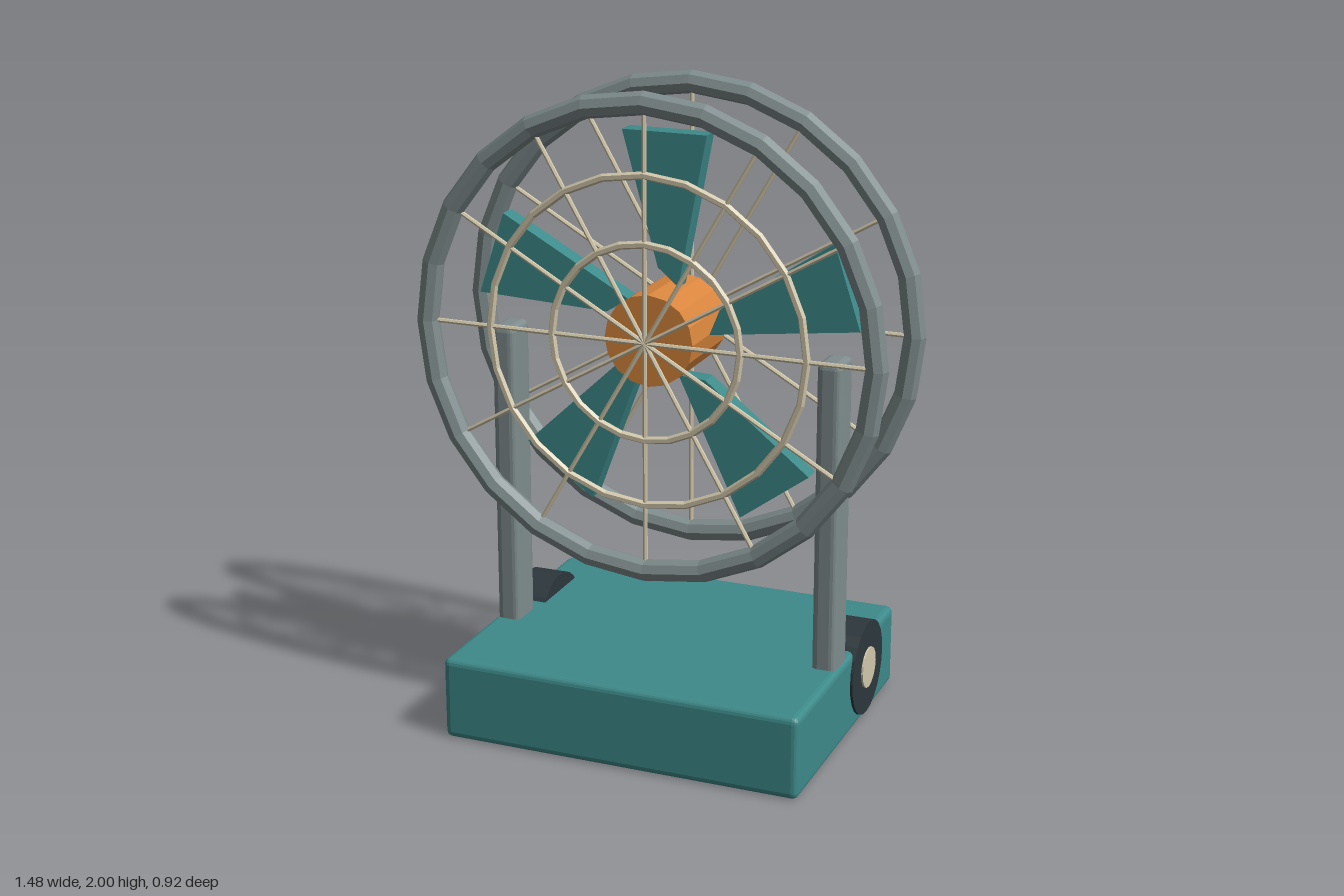
import * as THREE from 'three';
import { RoundedBoxGeometry } from 'three/addons/geometries/RoundedBoxGeometry.js';

const paint = (color) => new THREE.MeshStandardMaterial({ color, flatShading: true });

export function createModel() {
  const teal = paint(0x3e8a8a), grey = paint(0x7f8c8d), dark = paint(0x2c373c);
  const orange = paint(0xd9863d), cream = paint(0xd2c8ab);
  const model = new THREE.Group();
  model.name = 'fan';

  const add = (parent, name, geometry, material, x = 0, y = 0, z = 0) => {
    const mesh = new THREE.Mesh(geometry, material);
    mesh.name = name;
    mesh.position.set(x, y, z);
    parent.add(mesh);
    return mesh;
  };

  // Base block
  add(model, 'base', new RoundedBoxGeometry(1.14, 0.26, 0.92, 2, 0.02), teal, 0, 0.132, 0);

  // Posts and wheels on both sides
  for (const side of [-1, 1]) {
    const label = side > 0 ? 'left' : 'right';
    add(model, label + 'Post', new RoundedBoxGeometry(0.075, 0.98, 0.12, 2, 0.02), grey, side * 0.522, 0.73, 0.045);
    const wheel = new THREE.Group();
    wheel.name = label + 'Wheel';
    wheel.position.set(side * 0.524, 0.167, -0.172);
    wheel.rotation.z = Math.PI / 2;
    add(wheel, 'tyre', new THREE.CylinderGeometry(0.15, 0.15, 0.108, 24), dark);
    add(wheel, 'wheelCap', new THREE.CylinderGeometry(0.065, 0.065, 0.12, 16), cream);
    model.add(wheel);
  }

  // Rotor: hub and five tapered blades
  const rotor = new THREE.Group();
  rotor.name = 'rotor';
  rotor.position.set(0, 1.257, 0);
  model.add(rotor);
  const hub = new THREE.CylinderGeometry(0.139, 0.139, 0.275, 16).rotateX(Math.PI / 2);
  add(rotor, 'hub', hub, orange, 0, 0, 0.063);

  const outline = new THREE.Shape([
    new THREE.Vector2(0.043, 0.135), new THREE.Vector2(0.131, 0.594),
    new THREE.Vector2(-0.134, 0.594), new THREE.Vector2(-0.022, 0.19),
  ]);
  const blade = new THREE.ExtrudeGeometry(outline, { depth: 0.06, bevelEnabled: false });
  for (let i = 0; i < 5; i++) {
    add(rotor, 'blade', blade, teal, 0, 0, 0.014).rotation.z = (i * Math.PI * 2) / 5;
  }

  // Guards: outer rim with twelve spokes; only the front has inner rings
  const rim = new THREE.TorusGeometry(0.706, 0.035, 8, 24);
  const spoke = new THREE.CylinderGeometry(0.007, 0.007, 0.7, 6).translate(0, 0.35, 0);
  const guards = [['frontGuard', 0.227, [0.296, 0.498]], ['backGuard', -0.141, []]];
  for (const [name, z, rings] of guards) {
    const guard = new THREE.Group();
    guard.name = name;
    guard.position.set(0, 1.257, z);
    add(guard, 'rim', rim, grey);
    for (const r of rings) add(guard, 'innerRing', new THREE.TorusGeometry(r, 0.012, 6, 24), cream);
    for (let i = 0; i < 12; i++) add(guard, 'spoke', spoke, cream).rotation.z = (i * Math.PI) / 6;
    model.add(guard);
  }

  return model;
}
